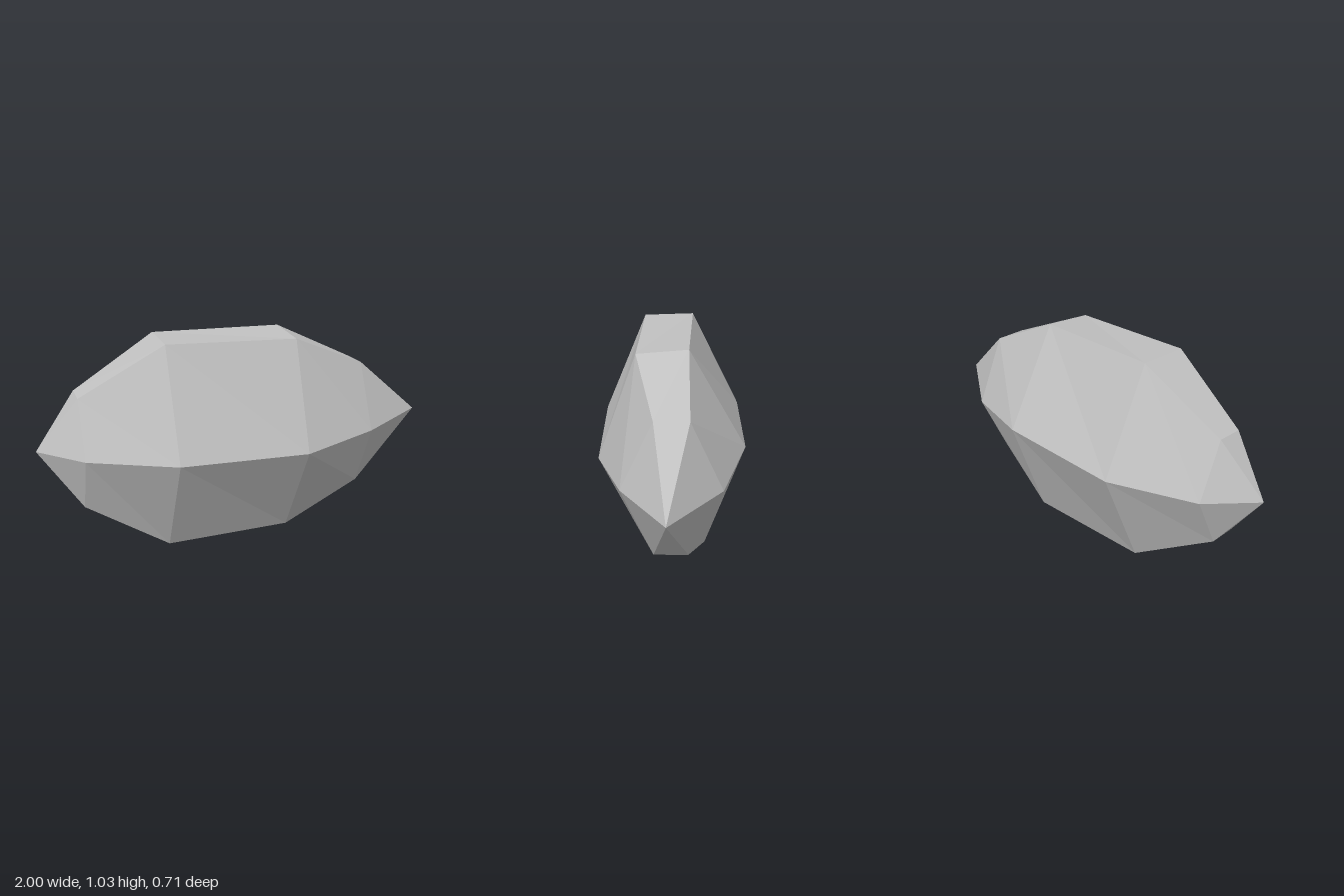
import * as THREE from 'three';

// Hexagonal cross-sections along x: [y, z] corners in the order
// front, upper front, upper back, back, lower back, lower front
const SECTIONS = [
  { x: -0.8, ring: [[0.518, 0.185], [0.785, 0.06], [0.79, -0.07], [0.52, -0.19], [0.25, -0.06], [0.247, 0.07]] },
  { x: -0.4, ring: [[0.505, 0.355], [1.025, 0.14], [1.033, -0.11], [0.532, -0.358], [0.012, -0.14], [0.004, 0.11]] },
  { x: 0.24, ring: [[0.487, 0.352], [1.01, 0.165], [1.03, -0.08], [0.548, -0.353], [0.025, -0.165], [0, 0.08]] },
  { x: 0.64, ring: [[0.518, 0.225], [0.84, 0.077], [0.84, -0.08], [0.516, -0.228], [0.195, -0.077], [0.195, 0.08]] },
];
const RIGHT_TIP = [-1, 0.53, 0];
const LEFT_TIP = [1, 0.54, 0.02];

// Skin neighbouring sections and close both ends to a point
function buildRock() {
  const rings = SECTIONS.map(({ x, ring }) => ring.map(([y, z]) => [x, y, z]));
  const positions = [];
  const tri = (a, b, c) => positions.push(...a, ...b, ...c);
  const first = rings[0];
  const last = rings[rings.length - 1];

  for (let i = 0; i < 6; i++) {
    const j = (i + 1) % 6;
    tri(RIGHT_TIP, first[i], first[j]);
    for (let s = 0; s < rings.length - 1; s++) {
      const a = rings[s], b = rings[s + 1];
      tri(a[i], b[i], a[j]);
      tri(b[i], b[j], a[j]);
    }
    tri(last[i], LEFT_TIP, last[j]);
  }

  const geometry = new THREE.BufferGeometry();
  geometry.setAttribute('position', new THREE.Float32BufferAttribute(positions, 3));
  geometry.computeVertexNormals(); // unshared corners give flat facets
  return geometry;
}

export function createModel() {
  const stone = new THREE.MeshStandardMaterial({ color: 0xc0c0c0 });
  stone.name = 'grey stone';
  stone.flatShading = true;

  const model = new THREE.Group();
  model.name = 'facetedRock';
  const rock = new THREE.Mesh(buildRock(), stone);
  rock.name = 'rockBody';
  model.add(rock);
  return model;
}
